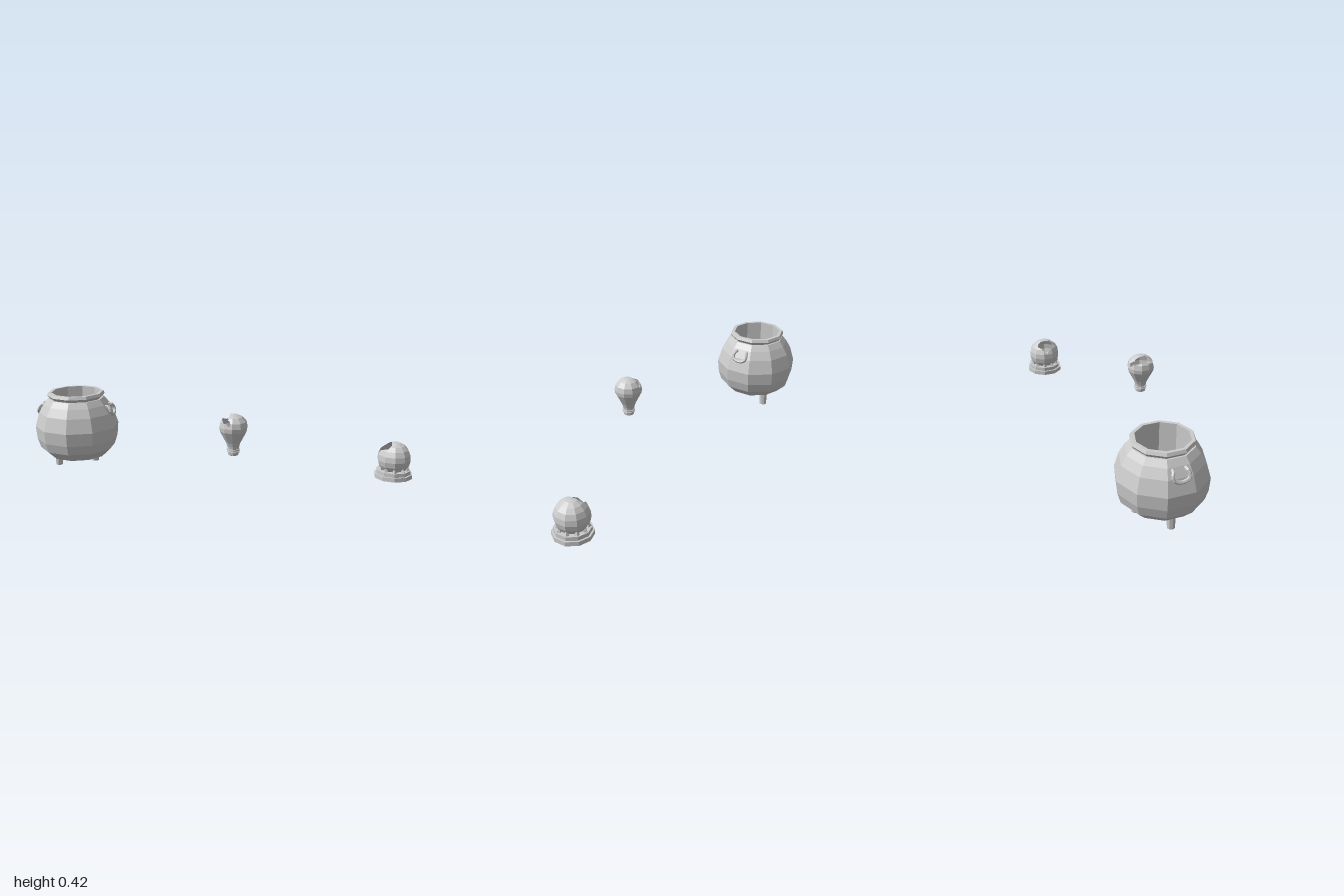
import * as THREE from 'three';

const mat = new THREE.MeshStandardMaterial({ color: 0xcccccc, flatShading: true, side: THREE.DoubleSide });
const SIDES = 10;

function add(parent, name, geometry, x = 0, y = 0, z = 0) {
  const mesh = new THREE.Mesh(geometry, mat);
  mesh.name = name;
  mesh.position.set(x, y, z);
  parent.add(mesh);
  return mesh;
}

function group(parent, name, x, z) {
  const g = new THREE.Group();
  g.name = name;
  g.position.set(x, 0, z);
  parent.add(g);
  return g;
}

const lathe = (profile) =>
  new THREE.LatheGeometry(profile.map(([r, y]) => new THREE.Vector2(r, y)), SIDES);

// Planes of a convex prism; corners run anticlockwise in the (u, y) plane.
function prism(corners, u) {
  return corners.map(([a, b], i) => {
    const [c, d] = corners[(i + 1) % corners.length];
    const n = new THREE.Vector3(0, c - a, 0);
    n[u] = b - d;
    return new THREE.Plane(n, -(n[u] * a + n.y * b)).normalize();
  });
}

// Part of a convex polygon on one side of a plane
function clip(poly, plane, sign) {
  const out = [];
  poly.forEach((p, i) => {
    const q = poly[(i + 1) % poly.length];
    const a = sign * plane.distanceToPoint(p), b = sign * plane.distanceToPoint(q);
    if (a >= 0) out.push(p);
    if ((a > 0 && b < 0) || (a < 0 && b > 0)) out.push(p.clone().lerp(q, a / (a - b)));
  });
  return out;
}

// Break a hole in a shell: drop whatever lies inside the convex region.
function breakHole(geometry, planes) {
  const flat = geometry.index ? geometry.toNonIndexed() : geometry;
  const pos = flat.getAttribute('position');
  const verts = [];
  for (let i = 0; i < pos.count; i += 3) {
    let rest = [0, 1, 2].map((k) => new THREE.Vector3().fromBufferAttribute(pos, i + k));
    for (const plane of planes) {
      const kept = clip(rest, plane, -1);
      for (let k = 1; k < kept.length - 1; k++)
        for (const p of [kept[0], kept[k], kept[k + 1]]) verts.push(p.x, p.y, p.z);
      rest = clip(rest, plane, 1);
      if (rest.length < 3) break;
    }
  }
  const result = new THREE.BufferGeometry();
  result.setAttribute('position', new THREE.Float32BufferAttribute(verts, 3));
  result.computeVertexNormals();
  return result;
}

function buildCauldron(root) {
  const g = group(root, 'cauldron', -0.79, -0.065);
  // Belly, rim and straight inner wall in one profile
  add(g, 'cauldronBody', lathe([
    [0, 0.072], [0.148, 0.072], [0.198, 0.118], [0.214, 0.168], [0.22, 0.235],
    [0.198, 0.31], [0.172, 0.355], [0.148, 0.385], [0.139, 0.385], [0.152, 0.401],
    [0.145, 0.416], [0.128, 0.416], [0.128, 0.1], [0, 0.1],
  ]));
  // Two remaining legs
  for (const [x, z] of [[-0.11, 0], [0.066, -0.096]])
    add(g, 'cauldronLeg', new THREE.CylinderGeometry(0.023, 0.019, 0.085, 8), x, 0.0475, z);
  // Horseshoe handles leaning against the shoulders
  for (const s of [1, -1]) {
    const points = [
      [0.16, 0.345, -0.03], [0.184, 0.343, -0.034], [0.193, 0.328, -0.04], [0.198, 0.312, -0.037],
      [0.201, 0.302, -0.021], [0.202, 0.298, 0],
    ];
    const all = [...points, ...points.slice(0, -1).reverse().map(([x, y, z]) => [x, y, -z])];
    const path = new THREE.CatmullRomCurve3(all.map(([x, y, z]) => new THREE.Vector3(s * x, y, z)));
    add(g, 'cauldronHandle', new THREE.TubeGeometry(path, 16, 0.009, 6));
  }
}

function buildBulb(root) {
  const g = group(root, 'brokenBulb', 0.083, 0.214);
  let glass = lathe([
    [0.028, 0.208], [0.031, 0.225], [0.038, 0.245], [0.055, 0.277], [0.069, 0.304],
    [0.072, 0.325], [0.066, 0.352], [0.046, 0.375], [0.022, 0.386], [0, 0.389],
  ]);
  // Jagged opening across the upper side
  glass = breakHole(glass, prism([[-0.056, 0.362], [-0.042, 0.349], [-0.026, 0.352], [-0.014, 0.4], [-0.056, 0.4]], 'x'));
  glass = breakHole(glass, prism([[-0.034, 0.355], [-0.016, 0.335], [-0.008, 0.352], [-0.018, 0.366]], 'x'));
  add(g, 'bulbGlass', glass);
  // Stepped metal cap
  add(g, 'bulbCap', lathe([
    [0, 0.175], [0.015, 0.175], [0.026, 0.18], [0.028, 0.194], [0.029, 0.195], [0.033, 0.195],
    [0.033, 0.2], [0.029, 0.201], [0.029, 0.206], [0.034, 0.207], [0.034, 0.211], [0.026, 0.212],
  ]));
}

function buildGlobe(root) {
  const g = group(root, 'brokenGlobe', 0.9, -0.065);
  // Two-tier plinth
  add(g, 'globeBase', lathe([
    [0, 0], [0.1, 0], [0.1, 0.022], [0.09, 0.022], [0.09, 0.042], [0, 0.042],
  ]));
  // Ball with a broken upper side
  const arc = [];
  for (let i = 0; i <= 7; i++) {
    const a = -0.72 + (i / 7) * (Math.PI / 2 + 0.72);
    arc.push([0.088 * Math.cos(a), 0.102 + 0.088 * Math.sin(a)]);
  }
  let ball = lathe(arc);
  ball = breakHole(ball, prism([[-0.1, 0.138], [-0.075, 0.148], [-0.037, 0.163], [-0.016, 0.18], [-0.016, 0.21], [-0.1, 0.21]], 'x'));
  const jag = prism([[-0.045, 0.165], [-0.005, 0.128], [0.03, 0.165]], 'z');
  jag.push(new THREE.Plane(new THREE.Vector3(-1, 0, 0), 0));
  add(g, 'globeGlass', breakHole(ball, jag));
  // Ring of pointed claws holding the ball
  for (let i = 0; i < 10; i++) {
    const a = (i / 10) * Math.PI * 2;
    const claw = add(g, 'globeClaw', new THREE.ConeGeometry(0.014, 0.034, 4), 0.072 * Math.sin(a), 0.057, 0.072 * Math.cos(a));
    claw.rotation.y = a;
  }
}

export function createModel() {
  const root = new THREE.Group();
  root.name = 'brokenCuriosities';
  buildCauldron(root);
  buildBulb(root);
  buildGlobe(root);
  return root;
}
